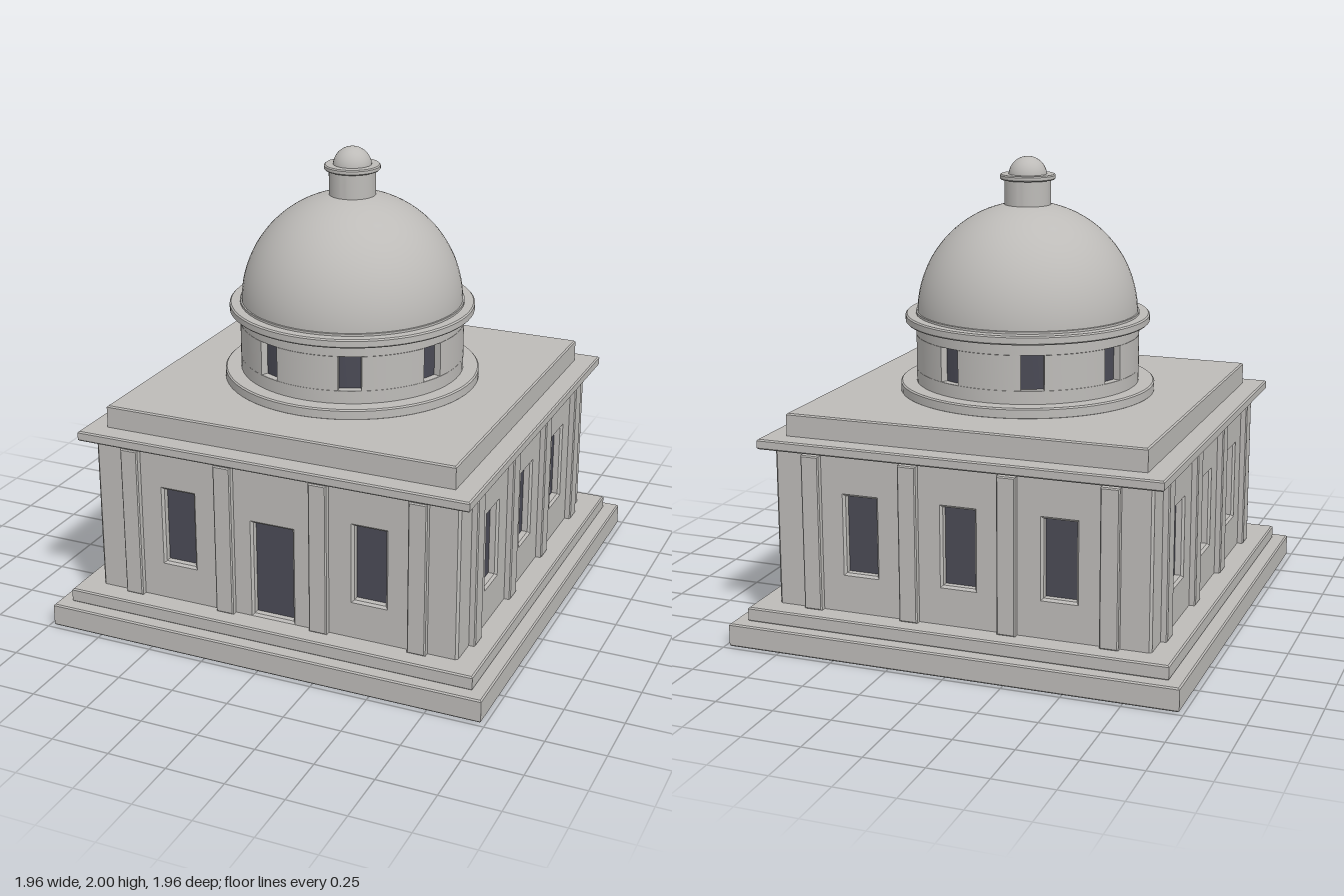
import * as THREE from 'three';
import { toCreasedNormals } from 'three/addons/utils/BufferGeometryUtils.js';

const stone = new THREE.MeshStandardMaterial({ color: 0xbdbbb8 });
stone.name = 'pale stone';
const glass = new THREE.MeshStandardMaterial({ color: 0x4a4a55 });
glass.name = 'dark glass';

const WALL = 0.82; // half width of the hall
const BEVEL = 0.01;

function add(parent, name, geometry, material = stone) {
  const mesh = new THREE.Mesh(geometry, material);
  mesh.name = name;
  parent.add(mesh);
  return mesh;
}

function rect(Type, x0, y0, x1, y1) {
  const s = new Type();
  s.moveTo(x0, y0).lineTo(x1, y0).lineTo(x1, y1).lineTo(x0, y1).closePath();
  return s;
}

// Extrusion with chamfered edges that stays inside the given depth
function chamfered(shape, depth, b) {
  const g = new THREE.ExtrudeGeometry(shape, {
    depth: depth - 2 * b, bevelEnabled: true, bevelSegments: 1,
    bevelSize: b, bevelThickness: b, bevelOffset: -b, curveSegments: 12,
  });
  return g.translate(0, 0, b);
}

// Square slab with chamfered edges
function slab(parent, name, half, y0, y1) {
  const g = chamfered(rect(THREE.Shape, -half, -half, half, half), y1 - y0, 0.006);
  g.rotateX(-Math.PI / 2).translate(0, y0, 0);
  return add(parent, name, g);
}

// Turned part; sharp profile corners stay sharp
function turned(parent, name, profile, material = stone) {
  const pts = profile.map(([r, y]) => new THREE.Vector2(r, y));
  return add(parent, name, toCreasedNormals(new THREE.LatheGeometry(pts, 64), 0.5), material);
}

function ring(parent, name, r, y0, y1, b = 0.006) {
  return turned(parent, name,
    [[0, y0], [r - b, y0], [r, y0 + b], [r, y1 - b], [r - b, y1], [0, y1]]);
}

// One side of the hall: pierced wall, panes and pilasters
function facade(name, hasDoor) {
  const side = new THREE.Group();
  side.name = name;
  const shape = rect(THREE.Shape, -WALL, 0.13, WALL - 0.01, 0.87);
  for (const x of [-0.435, 0, 0.435]) {
    const door = hasDoor && x === 0;
    const w = door ? 0.09 : 0.07;
    const y0 = door ? 0.17 : 0.33;
    const y1 = door ? 0.59 : 0.665;
    shape.holes.push(rect(THREE.Path, x - w, y0, x + w, y1));
    const pane = new THREE.BoxGeometry(2 * w + 0.02, y1 - y0 + 0.02, 0.008);
    add(side, door ? 'door' : 'window', pane, glass)
      .position.set(x, (y0 + y1) / 2, WALL - 0.04);
  }
  add(side, 'wall', chamfered(shape, 0.06, BEVEL)).position.z = WALL - 0.06;
  for (const x of [-0.65, -0.215, 0.215, 0.65]) {
    const g = chamfered(rect(THREE.Shape, x - 0.04, 0.16, x + 0.04, 0.83), 0.05, 0.005);
    add(side, 'pilaster', g).position.z = WALL - 0.022;
  }
  return side;
}

// Round drum with eight recessed windows
function drum() {
  const group = new THREE.Group();
  group.name = 'drum';
  const R = 0.487, r = 0.44, low = 1.085, high = 1.235;
  ring(group, 'drumLowerBand', R, 1.0, low, 0.001);
  ring(group, 'drumUpperBand', R, high, 1.335, 0.001);
  turned(group, 'drumGlass', [[r + 0.015, low - 0.01], [r + 0.015, high + 0.01]], glass);
  const gap = Math.asin(0.049 / R);
  for (let i = 0; i < 8; i++) {
    const a0 = Math.PI / 8 + i * Math.PI / 4 + gap;
    const a1 = a0 + Math.PI / 4 - 2 * gap;
    const s = new THREE.Shape();
    s.absarc(0, 0, R, a0, a1, false);
    s.absarc(0, 0, r, a1, a0, true);
    s.closePath();
    const g = new THREE.ExtrudeGeometry(s, {
      depth: high - low, bevelEnabled: false, curveSegments: 10,
    });
    g.rotateX(-Math.PI / 2).translate(0, low, 0);
    add(group, 'drumPier', toCreasedNormals(g, 0.5));
  }
  return group;
}

export function createModel() {
  const model = new THREE.Group();
  model.name = 'domedHall';

  // Stepped base
  slab(model, 'lowerStep', 0.98, 0, 0.1);
  slab(model, 'upperStep', 0.92, 0.098, 0.16);

  // Four sides of the hall
  ['frontSide', 'leftSide', 'backSide', 'rightSide'].forEach((name, i) => {
    const side = facade(name, i === 0);
    side.rotation.y = i * Math.PI / 2;
    model.add(side);
  });

  // Cornice and attic
  slab(model, 'cornice', 0.875, 0.845, 0.888);
  slab(model, 'attic', 0.783, 0.88, 0.985);

  // Drum and its mouldings
  ring(model, 'drumFoot', 0.556, 0.98, 1.028);
  model.add(drum());
  ring(model, 'drumCornice', 0.532, 1.287, 1.325);

  // Dome
  const dome = new THREE.SphereGeometry(0.48, 64, 24, 0, Math.PI * 2, 0, Math.PI / 2);
  add(model, 'dome', dome).position.y = 1.325;

  // Lantern with cap
  ring(model, 'lantern', 0.1, 1.75, 1.905, 0.002);
  ring(model, 'lanternRing', 0.12, 1.902, 1.925, 0.005);
  const cap = new THREE.SphereGeometry(0.083, 32, 12, 0, Math.PI * 2, 0, Math.PI / 2);
  add(model, 'lanternCap', cap).position.y = 1.917;

  return model;
}
